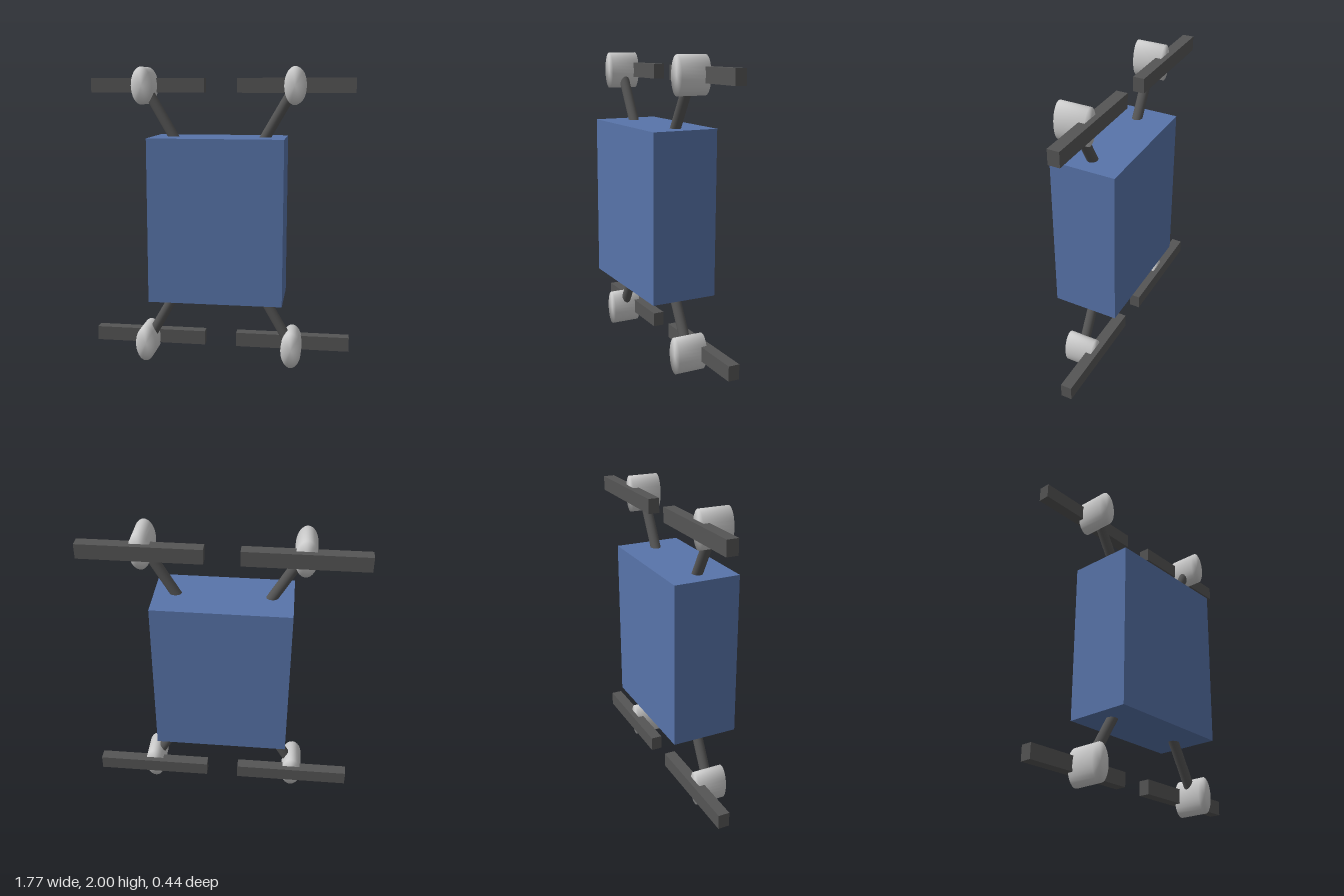
import * as THREE from 'three';
import { mergeVertices } from 'three/addons/utils/BufferGeometryUtils.js';

const blue = new THREE.MeshStandardMaterial({ name: 'bodyBlue', color: 0x5874aa });
const dark = new THREE.MeshStandardMaterial({ name: 'darkGrey', color: 0x555555 });
const light = new THREE.MeshStandardMaterial({ name: 'lightGrey', color: 0xcccccc });

const MID = 1.002; // height of the body centre

function part(name, geometry, material, x, y, z) {
  const mesh = new THREE.Mesh(geometry, material);
  mesh.name = name;
  mesh.position.set(x, y, z);
  return mesh;
}

// Oval motor pod along z, with normals shared across the rim for a soft cap
function podGeometry() {
  const geo = new THREE.CylinderGeometry(1, 1, 0.196, 32);
  geo.rotateX(Math.PI / 2);
  geo.scale(0.069, 0.122, 1);
  geo.deleteAttribute('uv');
  geo.deleteAttribute('normal');
  const merged = mergeVertices(geo, 1e-4);
  merged.computeVertexNormals();
  return merged;
}

export function createModel() {
  const model = new THREE.Group();
  model.name = 'drone';

  model.add(part('body', new THREE.BoxGeometry(0.886, 1.085, 0.442), blue, 0, MID, 0));

  const podGeo = podGeometry();
  const armGeo = new THREE.CylinderGeometry(0.034, 0.034, 0.5, 24);
  const bladeGeo = new THREE.BoxGeometry(0.777, 0.097, 0.075);

  // One arm, motor and rotor at each corner
  for (const sx of [-1, 1]) {
    for (const sy of [-1, 1]) {
      const corner = new THREE.Group();
      corner.name = (sy > 0 ? 'upper' : 'lower') + (sx > 0 ? 'Left' : 'Right') + 'Rotor';
      const x = sx * 0.499;
      const y = sy > 0 ? 1.878 : 0.122;

      // Arm leans 30 degrees outwards and ends inside the motor
      const arm = part('arm', armGeo, dark, x - sx * 0.125, y - sy * 0.2165, 0);
      arm.rotation.z = -sx * sy * Math.PI / 6;
      corner.add(arm);

      corner.add(part('motor', podGeo, light, x, y, 0));
      corner.add(part('blade', bladeGeo, dark, x, y + (sy > 0 ? 0.002 : 0.006), -0.0975));
      model.add(corner);
    }
  }
  return model;
}
